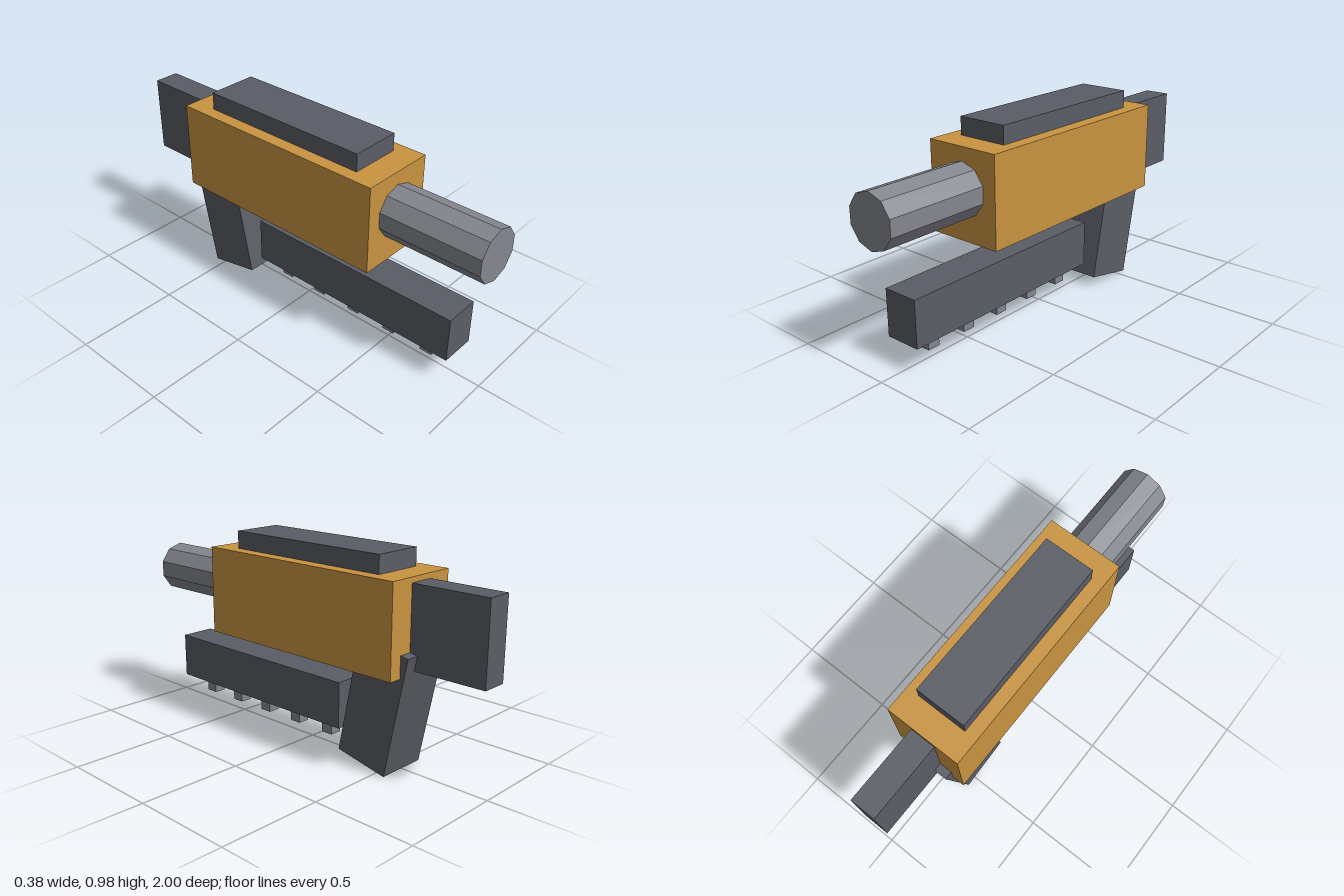
import * as THREE from 'three';

export function createModel() {
  const group = new THREE.Group();
  const material = (name, color) => {
    const m = new THREE.MeshStandardMaterial({ color, flatShading: true });
    m.name = name;
    return m;
  };
  const amber = material('amber', 0xc99441);
  const darkGrey = material('dark grey', 0x5a5d65);
  const lightGrey = material('light grey', 0x85878f);

  const add = (name, geometry, mat, x, y, z) => {
    const mesh = new THREE.Mesh(geometry, mat);
    mesh.name = name;
    mesh.position.set(x, y, z);
    group.add(mesh);
    return mesh;
  };
  // Centred box given by its width and its y and z ranges
  const box = (name, mat, w, y0, y1, z0, z1) =>
    add(name, new THREE.BoxGeometry(w, y1 - y0, z1 - z0), mat, 0, (y0 + y1) / 2, (z0 + z1) / 2);

  // Main housing with the plate on top and the block behind
  box('body', amber, 0.375, 0.475, 0.9, -0.625, 0.5);
  box('topRail', darkGrey, 0.25, 0.9, 0.985, -0.5, 0.375);
  box('stock', darkGrey, 0.125, 0.5, 0.875, -1, -0.625);

  // Ten-sided barrel
  const barrel = add('barrel', new THREE.CylinderGeometry(0.125, 0.125, 0.5, 10), lightGrey, 0, 0.711, 0.75);
  barrel.rotation.x = Math.PI / 2;

  // Slanted grip
  const grip = add('grip', new THREE.BoxGeometry(0.25, 0.575, 0.27), darkGrey, 0, 0.315, -0.475);
  grip.rotation.x = -0.2;

  // Lower bar and its row of teeth
  box('lowerBar', darkGrey, 0.175, 0.137, 0.36, -0.25, 0.875);
  for (let i = 0; i < 5; i++) {
    const z = 0.73 - i * 0.213;
    box('tooth' + (i + 1), lightGrey, 0.06, 0.062, 0.137, z - 0.031, z + 0.031);
  }
  return group;
}
